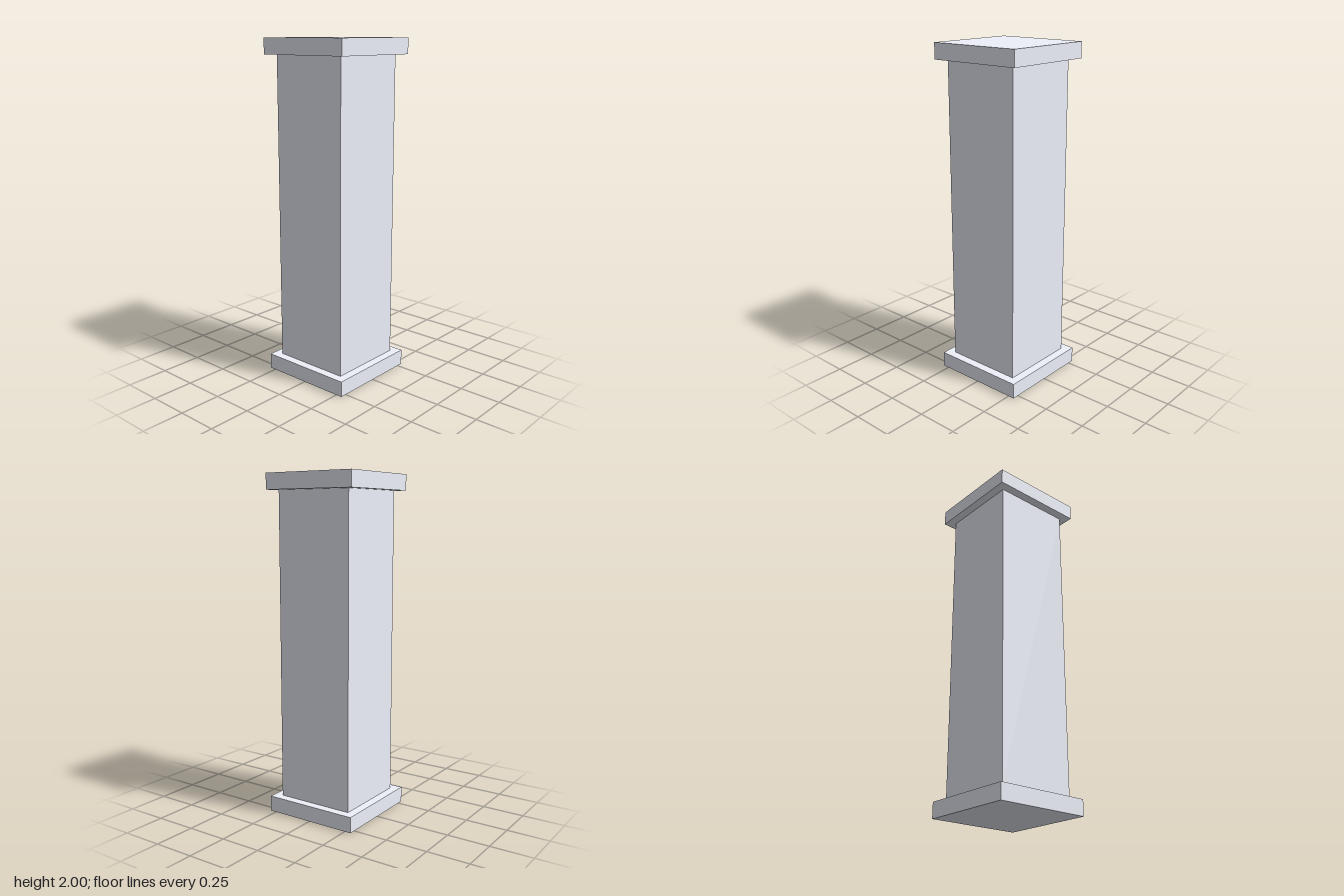
import * as THREE from 'three';

const HEIGHT = 2;
const SLAB_WIDTH = 0.577;
const SLAB_HEIGHT = 0.093;
const SHAFT_WIDTH = 0.475;

export function createModel() {
  const pillar = new THREE.Group();
  pillar.name = 'pillar';
  // Pale bluish stone
  const material = new THREE.MeshStandardMaterial({ color: 0xeef1fb });

  // Square block standing on the given height
  const addBlock = (name, width, height, bottom) => {
    const block = new THREE.Mesh(new THREE.BoxGeometry(width, height, width), material);
    block.name = name;
    block.position.y = bottom + height / 2;
    pillar.add(block);
  };

  // Base slab, shaft and matching capital slab
  addBlock('base', SLAB_WIDTH, SLAB_HEIGHT, 0);
  addBlock('shaft', SHAFT_WIDTH, HEIGHT - 2 * SLAB_HEIGHT, SLAB_HEIGHT);
  addBlock('capital', SLAB_WIDTH, SLAB_HEIGHT, HEIGHT - SLAB_HEIGHT);

  return pillar;
}
